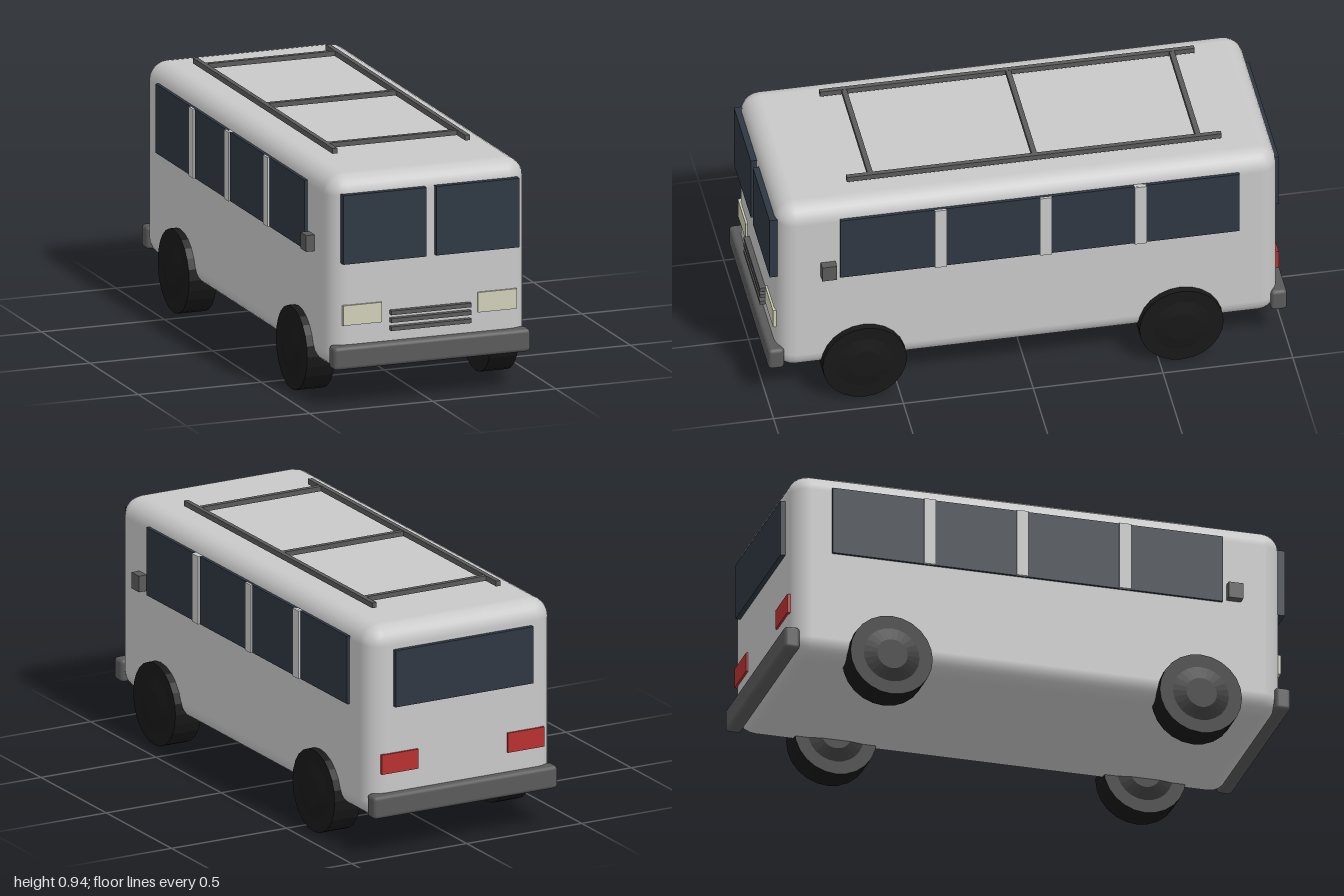
import * as THREE from 'three';
import { RoundedBoxGeometry } from 'three/addons/geometries/RoundedBoxGeometry.js';

const mat = (name, color) => {
  const m = new THREE.MeshStandardMaterial({ color });
  m.name = name;
  return m;
};

export function createModel() {
  const paint = mat('bodyPaint', 0xc8c8c8);
  const glass = mat('windowGlass', 0x2e3742);
  const trim = mat('greyTrim', 0x5a5a5a);
  const lamp = mat('headlightCream', 0xcfcfb8);
  const red = mat('tailLightRed', 0xb83030);
  const rubber = mat('tyreRubber', 0x181818);

  const bus = new THREE.Group();
  bus.name = 'minibus';

  const add = (name, geometry, material, x = 0, y = 0, z = 0) => {
    const mesh = new THREE.Mesh(geometry, material);
    mesh.name = name;
    mesh.position.set(x, y, z);
    bus.add(mesh);
    return mesh;
  };
  // Box given by its extents on each axis
  const box = (name, material, [x0, x1], [y0, y1], [z0, z1]) =>
    add(name, new THREE.BoxGeometry(x1 - x0, y1 - y0, z1 - z0), material,
      (x0 + x1) / 2, (y0 + y1) / 2, (z0 + z1) / 2);
  // Same box on both sides of the bus
  const pair = (name, material, [x0, x1], y, z) => {
    box(name + 'Left', material, [x0, x1], y, z);
    box(name + 'Right', material, [-x1, -x0], y, z);
  };

  // Body shell
  add('body', new RoundedBoxGeometry(0.804, 0.763, 1.932, 3, 0.075), paint, 0, 0.519, 0);

  // Bumpers
  for (const [name, z] of [['frontBumper', 0.969], ['rearBumper', -0.967]]) {
    add(name, new RoundedBoxGeometry(0.8, 0.09, 0.062, 2, 0.015), trim, 0, 0.2, z);
  }

  // Front: split windscreen, headlights, grille bars
  pair('windscreen', glass, [0.02, 0.358], [0.565, 0.835], [0.95, 0.988]);
  pair('headlight', lamp, [0.195, 0.353], [0.322, 0.4], [0.95, 0.974]);
  for (const y of [0.295, 0.327, 0.357]) {
    box('grilleBar', trim, [-0.163, 0.163], [y - 0.008, y + 0.008], [0.96, 0.988]);
  }

  // Back: window and tail lights
  box('rearWindow', glass, [-0.3, 0.3], [0.585, 0.81], [-0.985, -0.95]);
  pair('tailLight', red, [0.195, 0.353], [0.322, 0.4], [-0.974, -0.95]);

  // Sides: window strip, pillars, mirrors
  pair('sideWindows', glass, [0.38, 0.413], [0.567, 0.837], [-0.812, 0.726]);
  for (const z of [0.34, -0.065, -0.43]) {
    pair('windowPillar', paint, [0.38, 0.421], [0.567, 0.837], [z - 0.023, z + 0.023]);
  }
  pair('mirror', trim, [0.39, 0.436], [0.577, 0.641], [0.743, 0.8]);

  // Roof rack
  pair('rackRail', trim, [0.26, 0.279], [0.915, 0.936], [-0.768, 0.675]);
  for (const z of [0.582, -0.05, -0.68]) {
    box('rackCrossbar', trim, [-0.27, 0.27], [0.916, 0.935], [z - 0.01, z + 0.01]);
  }

  // Wheels with slightly domed faces
  const profile = [[0, -0.066], [0.06, -0.066], [0.11, -0.056], [0.162, -0.056],
    [0.162, 0.056], [0.11, 0.056], [0.06, 0.066], [0, 0.066]]
    .map(([r, h]) => new THREE.Vector2(r, h));
  const wheel = new THREE.LatheGeometry(profile, 24).toNonIndexed();
  wheel.computeVertexNormals();
  wheel.rotateZ(Math.PI / 2);
  for (const [end, z] of [['front', 0.635], ['rear', -0.585]]) {
    add(end + 'LeftWheel', wheel, rubber, 0.374, 0.162, z);
    add(end + 'RightWheel', wheel, rubber, -0.374, 0.162, z);
  }

  return bus;
}
